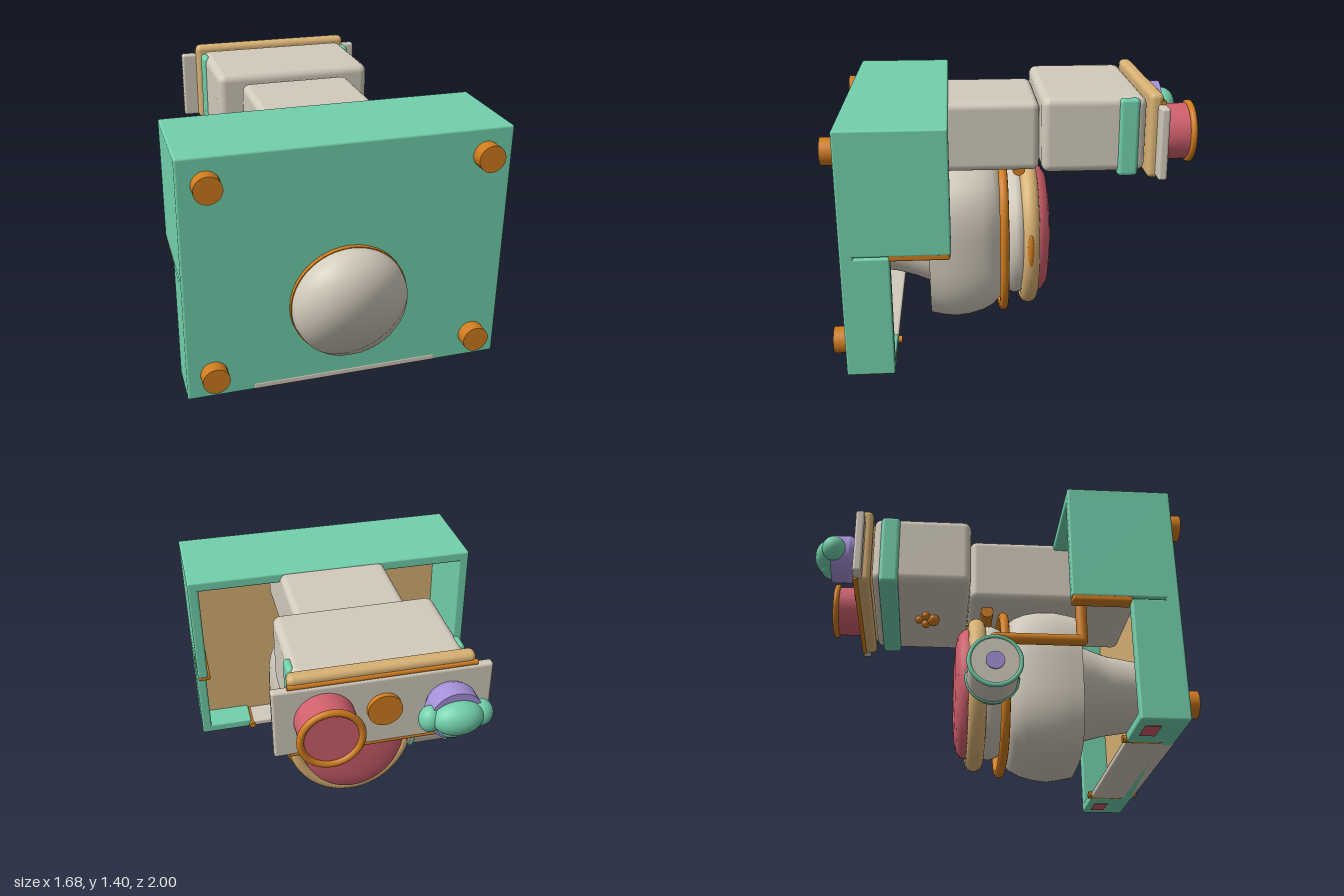
import * as THREE from 'three';
import { RoundedBoxGeometry } from 'three/addons/geometries/RoundedBoxGeometry.js';

const material = (name, color) => {
  const m = new THREE.MeshStandardMaterial({ color });
  m.name = name;
  return m;
};

export function createModel() {
  const mint = material('mint', 0x72d0ac);
  const cream = material('cream', 0xd2cabb);
  const orange = material('orange', 0xcf7c1e);
  const tan = material('tan', 0xd8b174);
  const rose = material('rose', 0xd0606d);
  const lilac = material('lilac', 0xa590d8);

  const root = new THREE.Group();
  const add = (name, geo, mat, x = 0, y = 0, z = 0) => {
    const mesh = new THREE.Mesh(geo, mat);
    mesh.name = name;
    mesh.position.set(x, y, z);
    root.add(mesh);
    return mesh;
  };

  // rounded box given by its bounds
  const box = (name, mat, x0, x1, y0, y1, z0, z1, r = 0.012) => {
    const [w, h, d] = [x1 - x0, y1 - y0, z1 - z0];
    const geo = new RoundedBoxGeometry(w, h, d, 3, Math.min(r, w * 0.48, h * 0.48, d * 0.48));
    return add(name, geo, mat, (x0 + x1) / 2, (y0 + y1) / 2, (z0 + z1) / 2);
  };

  // cylinder along z from z0 (radius r0) to z1 (radius r1)
  const rodZ = (name, mat, x, y, z0, z1, r0, r1 = r0) =>
    add(name, new THREE.CylinderGeometry(r1, r0, Math.abs(z1 - z0), 40)
      .rotateX(z1 > z0 ? Math.PI / 2 : -Math.PI / 2), mat, x, y, (z0 + z1) / 2);

  const rodX = (name, mat, x0, x1, y, z, r) =>
    add(name, new THREE.CylinderGeometry(r, r, x1 - x0, 40).rotateZ(Math.PI / 2), mat, (x0 + x1) / 2, y, z);

  const ball = (name, mat, x, y, z, rx, ry = rx, rz = rx) =>
    add(name, new THREE.SphereGeometry(1, 28, 18).scale(rx, ry, rz), mat, x, y, z);

  // point on a superellipse
  const superPoint = (t, hw, hh, n) => {
    const c = Math.cos(t), s = Math.sin(t);
    return [hw * Math.sign(c) * Math.abs(c) ** (2 / n), hh * Math.sign(s) * Math.abs(s) ** (2 / n)];
  };

  // loft of superellipse sections [z, half width, bottom, top], listed front to back
  const loft = (name, mat, sections, n) => {
    const count = 64, pos = [], idx = [];
    for (const [z, hw, lo, hi] of sections) {
      for (let j = 0; j < count; j++) {
        const [x, y] = superPoint((j / count) * Math.PI * 2, hw, (hi - lo) / 2, n);
        pos.push(x, y + (lo + hi) / 2, z);
      }
    }
    for (let i = 0; i < sections.length - 1; i++) {
      for (let j = 0; j < count; j++) {
        const a = i * count + j, b = i * count + (j + 1) % count;
        idx.push(a, a + count, b, b, a + count, b + count);
      }
    }
    const geo = new THREE.BufferGeometry();
    geo.setAttribute('position', new THREE.Float32BufferAttribute(pos, 3));
    geo.setIndex(idx);
    geo.computeVertexNormals();
    return add(name, geo, mat);
  };

  // hollow shell, open at the back, deeper in its upper half
  box('frontPanel', mint, -0.84, 0.84, 0.022, 1.34, 0.86, 0.93);
  box('shellTop', mint, -0.84, 0.84, 1.28, 1.34, 0.375, 0.93);
  box('innerLining', tan, -0.79, 0.79, 0.05, 1.29, 0.845, 0.865);
  box('ceilingStrip', rose, -0.74, 0.74, 1.262, 1.285, 0.5, 0.84);
  box('floorTray', cream, -0.5, 0.5, 0.022, 0.062, 0.68, 0.932);
  for (const s of [-1, 1]) {
    const sideBox = (name, mat, a, b, ...rest) => box(name, mat, Math.min(s * a, s * b), Math.max(s * a, s * b), ...rest);
    sideBox('upperSideWall', mint, 0.78, 0.84, 0.685, 1.34, 0.375, 0.93);
    sideBox('lowerSideWall', mint, 0.78, 0.84, 0.022, 0.68, 0.68, 0.93);
    sideBox('floorCorner', mint, 0.51, 0.84, 0.022, 0.08, 0.68, 0.93);
    sideBox('wallEdgeTrim', orange, 0.765, 0.838, 0.66, 0.7, 0.38, 0.69);
    sideBox('footPatch', rose, 0.62, 0.76, 0.018, 0.026, 0.72, 0.8, 0.002);
    rodZ('trayHinge', orange, s * 0.505, 0.042, 0.66, 0.85, 0.02);
    for (const y of [0.16, 1.2]) rodZ('frontPeg', orange, s * 0.7, y, 0.92, 1.0, 0.07);
  }

  // flattened dome on the front: a ball pressed flat, keeping its round shading
  const domeGeo = new THREE.SphereGeometry(0.304, 48, 32, 0, Math.PI);
  const dp = domeGeo.attributes.position;
  for (let i = 0; i < dp.count; i++) dp.setZ(i, Math.min(dp.getZ(i), 0.068 + 0.006 * dp.getZ(i)));
  add('frontDome', domeGeo, cream, 0, 0.485, 0.93);
  rodZ('domeRing', orange, 0, 0.485, 0.92, 0.955, 0.308);

  // main body behind the shell
  loft('bodyStem', cream, [[0.86, 0.25, 0.29, 0.68], [0.68, 0.28, 0.26, 0.71],
    [0.58, 0.33, 0.235, 0.735], [0.49, 0.37, 0.2, 0.77]], 2);
  loft('body', cream, [[0.5, 0.001, 0.47, 0.471], [0.5, 0.395, 0.03, 0.91], [0.5, 0.395, 0.03, 0.91],
    [0.43, 0.402, 0.014, 0.925], [0.36, 0.402, 0.002, 0.938], [0.28, 0.395, 0.01, 0.938], [0.2, 0.378, 0.03, 0.925],
    [0.14, 0.355, 0.06, 0.9], [0.09, 0.31, 0.11, 0.86], [0.08, 0.001, 0.48, 0.481]], 3);
  ball('neckMount', cream, 0, 0.935, 0.31, 0.09, 0.025, 0.06);

  // orange band around the body
  const bandPoints = [];
  for (let j = 0; j < 48; j++) {
    const [x, y] = superPoint(((j + 0.5) / 48) * Math.PI * 2, 0.372, 0.442, 2.6);
    bandPoints.push(new THREE.Vector3(x, y, 0));
  }
  const bandPath = new THREE.CatmullRomCurve3(bandPoints, true);
  add('bodyBand', new THREE.TubeGeometry(bandPath, 128, 0.026, 12, true), orange, 0, 0.48, 0.08);

  // collar, seat ring and lid
  loft('collar', cream, [[0.1, 0.3, 0.15, 0.83], [0.055, 0.355, 0.115, 0.865], [0.01, 0.376, 0.1, 0.88],
    [-0.03, 0.365, 0.11, 0.875], [-0.06, 0.32, 0.14, 0.84], [-0.1, 0.28, 0.18, 0.8]], 2);
  add('seatRing', new THREE.TorusGeometry(0.4, 0.05, 20, 72).scale(0.86, 1, 1), tan, 0, 0.48, -0.07);
  loft('lid', rose, [[-0.08, 0.315, 0.1, 0.87], [-0.12, 0.318, 0.1, 0.87], [-0.15, 0.31, 0.11, 0.86],
    [-0.175, 0.28, 0.15, 0.82], [-0.188, 0.22, 0.22, 0.75], [-0.195, 0.12, 0.34, 0.63],
    [-0.197, 0.001, 0.484, 0.486]], 2);
  ball('seatLatch', orange, 0.372, 0.49, -0.068, 0.02, 0.1, 0.022);
  rodX('lidHinge', orange, -0.2, 0.2, 0.918, -0.01, 0.036);

  // side canister with its L-shaped lever
  rodX('canister', cream, -0.605, -0.34, 0.42, 0.005, 0.14);
  for (const x of [-0.6, -0.375]) {
    add('canisterRim', new THREE.TorusGeometry(0.137, 0.012, 10, 48).rotateY(Math.PI / 2), mint, x, 0.42, 0.005);
  }
  rodX('canisterButton', lilac, -0.612, -0.6, 0.42, 0.005, 0.05);
  rodZ('leverArm', orange, -0.56, 0.57, 0.01, 0.47, 0.03);
  add('leverHandle', new THREE.CylinderGeometry(0.03, 0.03, 0.38, 24), orange, -0.56, 0.76, 0.47);
  ball('leverElbow', orange, -0.56, 0.57, 0.47, 0.03);
  ball('leverTip', orange, -0.56, 0.57, 0.01, 0.03);

  // neck and head blocks
  box('neck', cream, -0.31, 0.31, 0.945, 1.33, -0.115, 0.85, 0.04);
  box('head', cream, -0.44, 0.44, 0.97, 1.38, -0.67, -0.115, 0.045);
  for (const s of [-1, 1]) {
    box('headSideBand', mint, s * 0.432 - 0.023, s * 0.432 + 0.023, 0.95, 1.375, -0.63, -0.522, 0.022);
  }
  box('headBottomBand', mint, -0.44, 0.44, 0.95, 0.985, -0.63, -0.522, 0.015);

  // paw mark under the head
  ball('pawPad', orange, 0, 0.955, -0.32, 0.042, 0.035, 0.036);
  for (const [x, z] of [[-0.055, -0.365], [0, -0.405], [0.055, -0.365]]) {
    ball('pawToe', orange, x, 0.955, z, 0.024);
  }

  // back plate
  box('plateFrame', tan, -0.47, 0.47, 0.94, 1.405, -0.75, -0.675, 0.03);
  box('backPlate', cream, -0.555, 0.555, 0.955, 1.345, -0.767, -0.718, 0.015);
  rodX('plateTopTrim', orange, -0.475, 0.475, 1.352, -0.745, 0.015);
  rodX('plateBottomTrim', orange, -0.475, 0.475, 0.957, -0.755, 0.014);
  rodZ('plateKnob', orange, 0, 1.17, -0.76, -0.795, 0.088);

  // cup on the plate
  rodZ('cup', rose, 0.3, 1.155, -0.76, -0.925, 0.152);
  add('cupRim', new THREE.TorusGeometry(0.152, 0.018, 14, 56), orange, 0.3, 1.155, -0.925);

  // planter with leafy tufts
  rodZ('planter', lilac, -0.33, 1.155, -0.76, -0.8, 0.115, 0.135);
  rodZ('planterRim', lilac, -0.33, 1.155, -0.8, -0.9, 0.135);
  ball('leafTop', mint, -0.33, 1.16, -0.915, 0.13, 0.09, 0.085);
  ball('leafLeft', mint, -0.2, 1.15, -0.88, 0.058, 0.07, 0.058);
  ball('leafRight', mint, -0.455, 1.15, -0.885, 0.065, 0.07, 0.065);
  ball('leafLower', mint, -0.31, 1.1, -0.905, 0.08, 0.05, 0.06);

  return root;
}
